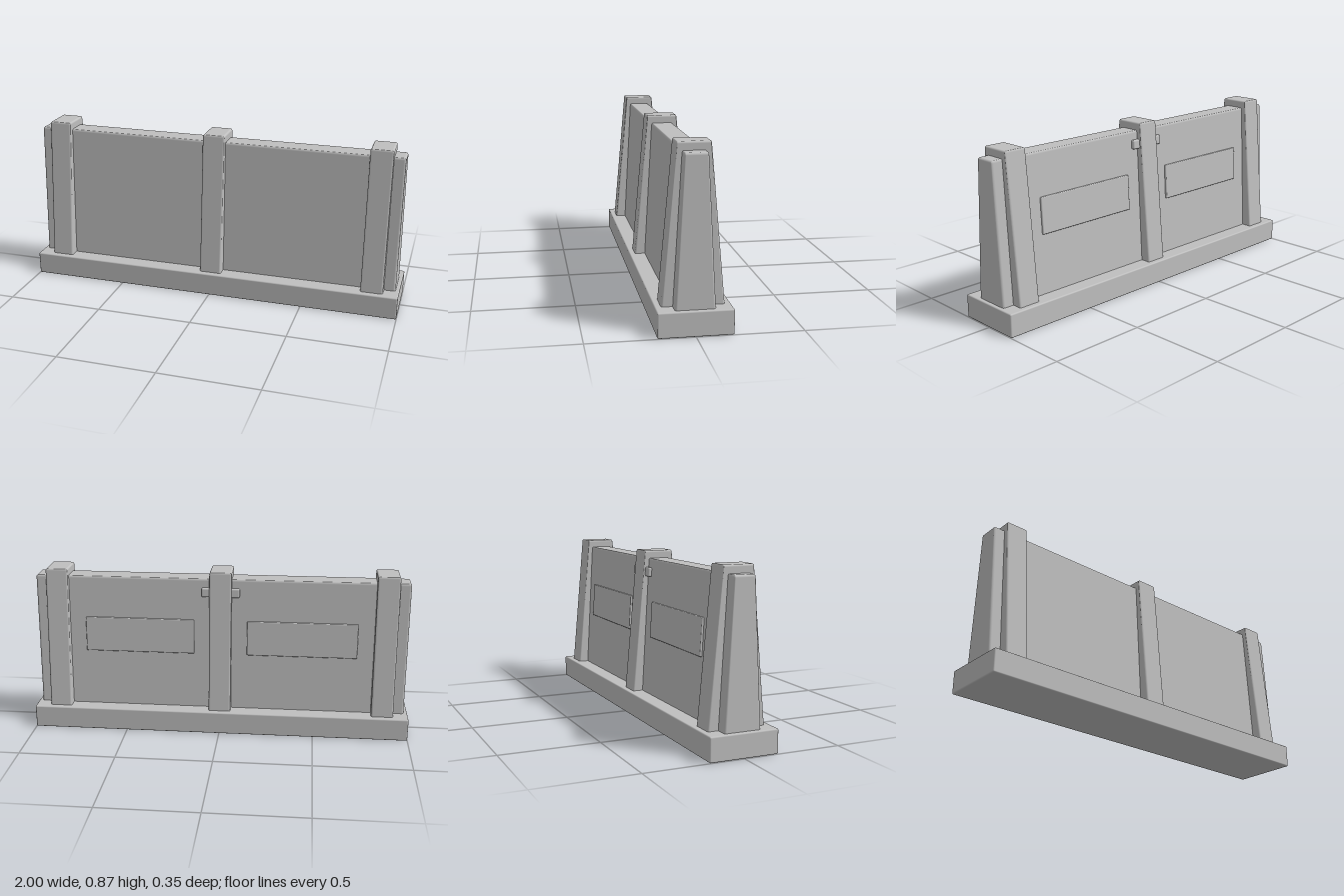
import * as THREE from 'three';
import { RoundedBoxGeometry } from 'three/addons/geometries/RoundedBoxGeometry.js';

// Rounded box whose depth narrows evenly from bottom to top
function taperedBox(width, y0, y1, half0, half1, radius) {
  const h = y1 - y0;
  const geo = new RoundedBoxGeometry(width, h, 2 * half0, 3, radius);
  const p = geo.attributes.position, n = geo.attributes.normal;
  const slope = (half1 / half0 - 1) / h;
  const v = new THREE.Vector3();
  for (let i = 0; i < p.count; i++) {
    const y = p.getY(i) + h / 2, z = p.getZ(i);
    const s = 1 + slope * y;
    p.setXYZ(i, p.getX(i), y0 + y, z * s);
    // keep the normals matched to the sloped faces
    v.fromBufferAttribute(n, i);
    v.set(v.x, v.y - (slope * z * v.z) / s, v.z / s).normalize();
    n.setXYZ(i, v.x, v.y, v.z);
  }
  return geo;
}

export function createModel() {
  const model = new THREE.Group();
  model.name = 'barrier';
  const concrete = new THREE.MeshStandardMaterial({ color: 0xbfbfbf });
  concrete.name = 'concrete grey';

  const add = (name, geo, x = 0, y = 0, z = 0, tilt = 0) => {
    const mesh = new THREE.Mesh(geo, concrete);
    mesh.name = name;
    mesh.position.set(x, y, z);
    mesh.rotation.x = tilt;
    model.add(mesh);
  };

  // Foot slab
  add('base', new RoundedBoxGeometry(2, 0.12, 0.35, 3, 0.007), 0, 0.06, 0);

  // Sloped wall, sunk a little into the base
  add('wall', taperedBox(1.96, 0.09, 0.825, 0.095, 0.054, 0.012));

  // Three tapered ribs wrapping the wall
  for (const x of [-0.863, 0, 0.863]) {
    add('rib', taperedBox(0.116, 0.09, 0.865, 0.149, 0.078, 0.01), x);
  }

  // Raised panels lying on the sloped back face
  for (const side of [-1, 1]) {
    add('backPanel', new RoundedBoxGeometry(0.58, 0.185, 0.022, 2, 0.005),
      side * 0.43, 0.512, -0.071, 0.056);
  }

  // Small lugs either side of the middle rib, at the back
  for (const side of [-1, 1]) {
    add('backLug', new RoundedBoxGeometry(0.06, 0.048, 0.03, 2, 0.008),
      side * 0.07, 0.755, -0.061, 0.056);
  }
  return model;
}
